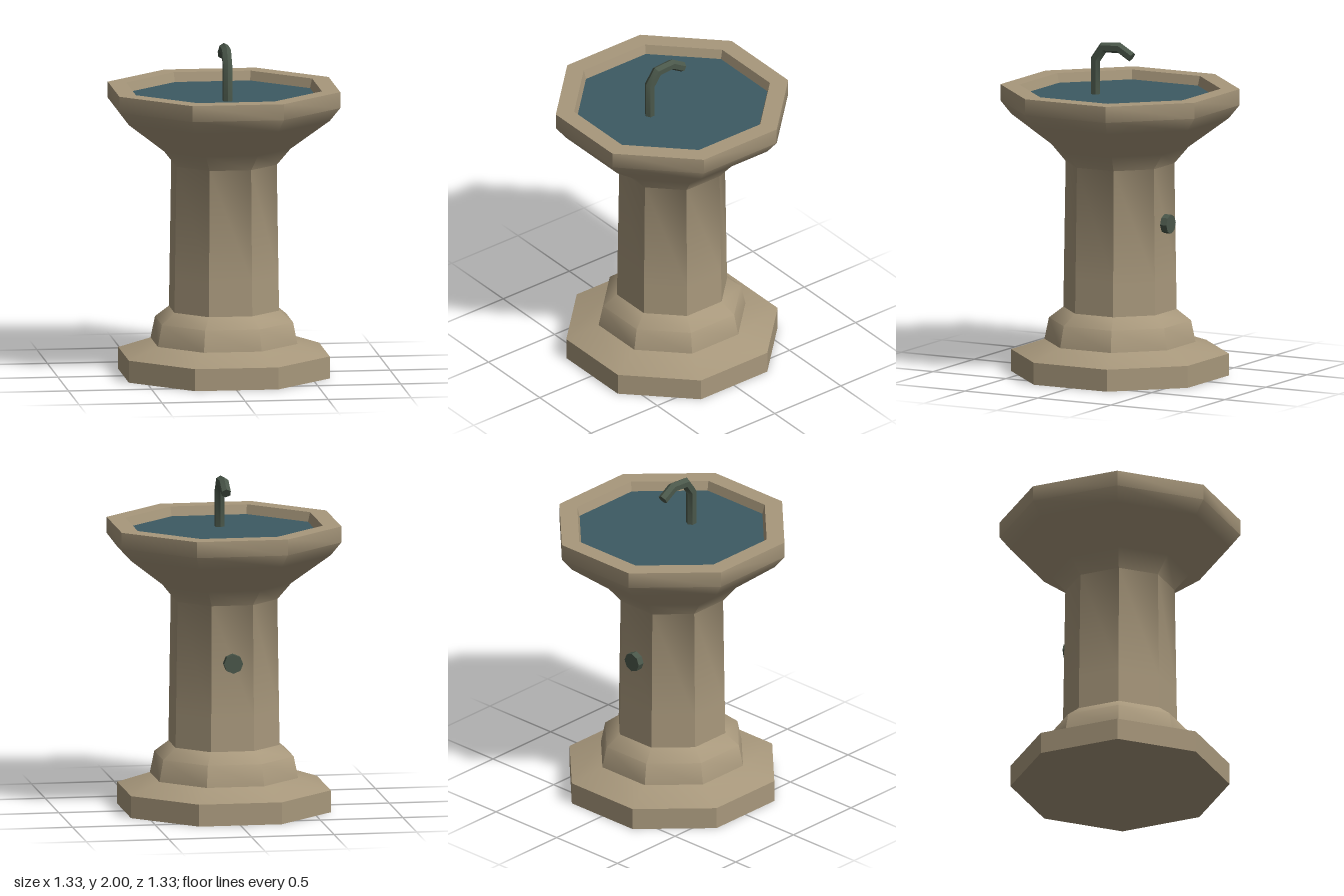
import * as THREE from 'three';
import { toCreasedNormals } from 'three/addons/utils/BufferGeometryUtils.js';

const CREASE = THREE.MathUtils.degToRad(40);
const FLAT = Math.cos(Math.PI / 8); // distance to flat / distance to corner

// Octagonal turned form; profile is [distance to flat side, height]
function octagonLathe(profile) {
  const points = profile.map(([d, y]) => new THREE.Vector2(d / FLAT, y));
  return toCreasedNormals(new THREE.LatheGeometry(points, 8, Math.PI / 8), CREASE);
}

// Six-sided pipe with mitred bends along a [z, y] path in the x = 0 plane
function mitredPipe(path, radius) {
  const sides = 6, pos = [], index = [];
  const pts = path.map(([z, y]) => new THREE.Vector2(z, y));
  const dir = (i) => pts[i + 1].clone().sub(pts[i]).normalize();
  pts.forEach((p, i) => {
    const a = dir(Math.max(i - 1, 0)), b = dir(Math.min(i, pts.length - 2));
    const t = a.clone().add(b).normalize();
    const stretch = radius / t.dot(a);
    for (let s = 0; s < sides; s++) {
      const ang = (s / sides) * Math.PI * 2;
      const n = Math.cos(ang) * stretch;
      pos.push(Math.sin(ang) * radius, p.y - t.x * n, p.x + t.y * n);
    }
  });
  for (let i = 0; i < pts.length - 1; i++) {
    for (let s = 0; s < sides; s++) {
      const a = i * sides + s, b = i * sides + ((s + 1) % sides);
      index.push(a, b, a + sides, b, b + sides, a + sides);
    }
  }
  // End caps
  const last = (pts.length - 1) * sides;
  for (let s = 1; s < sides - 1; s++) {
    index.push(0, s + 1, s, last, last + s, last + s + 1);
  }
  const g = new THREE.BufferGeometry();
  g.setAttribute('position', new THREE.Float32BufferAttribute(pos, 3));
  g.setIndex(index);
  return toCreasedNormals(g, CREASE);
}

export function createModel() {
  const group = new THREE.Group();
  const material = (name, color) => new THREE.MeshStandardMaterial({ name, color });
  const stone = material('sandstone', 0xa8987c);
  const water = material('water', 0x3d5a63);
  const metal = material('darkMetal', 0x4a574a);
  const add = (name, geometry, mat) => {
    const mesh = new THREE.Mesh(geometry, mat);
    mesh.name = name;
    group.add(mesh);
    return mesh;
  };

  // Plinth, column, bowl and rim in one continuous profile
  add('pedestalBasin', octagonLathe([
    [0, 0], [0.605, 0], [0.605, 0.133], [0.42, 0.2], [0.395, 0.33],
    [0.315, 0.397], [0.312, 0.6], [0.302, 1.28], [0.38, 1.38],
    [0.605, 1.56], [0.665, 1.64], [0.665, 1.737], [0.56, 1.737], [0.544, 1.67],
  ]), stone);

  // Water surface
  const surface = add('waterSurface', new THREE.CircleGeometry(0.546 / FLAT, 8, Math.PI / 8), water);
  surface.rotation.x = -Math.PI / 2;
  surface.position.y = 1.68;

  // Bent spout
  add('spout', mitredPipe([
    [0.167, 1.66], [0.167, 1.89], [0.113, 1.965], [0.005, 1.972], [-0.08, 1.922],
  ], 0.031), metal);

  // Push button on the back of the column
  const button = add('pushButton',
    toCreasedNormals(new THREE.CylinderGeometry(0.058, 0.058, 0.07, 8), CREASE), metal);
  button.rotation.x = -Math.PI / 2;
  button.position.set(0, 0.933, -0.315);

  return group;
}
